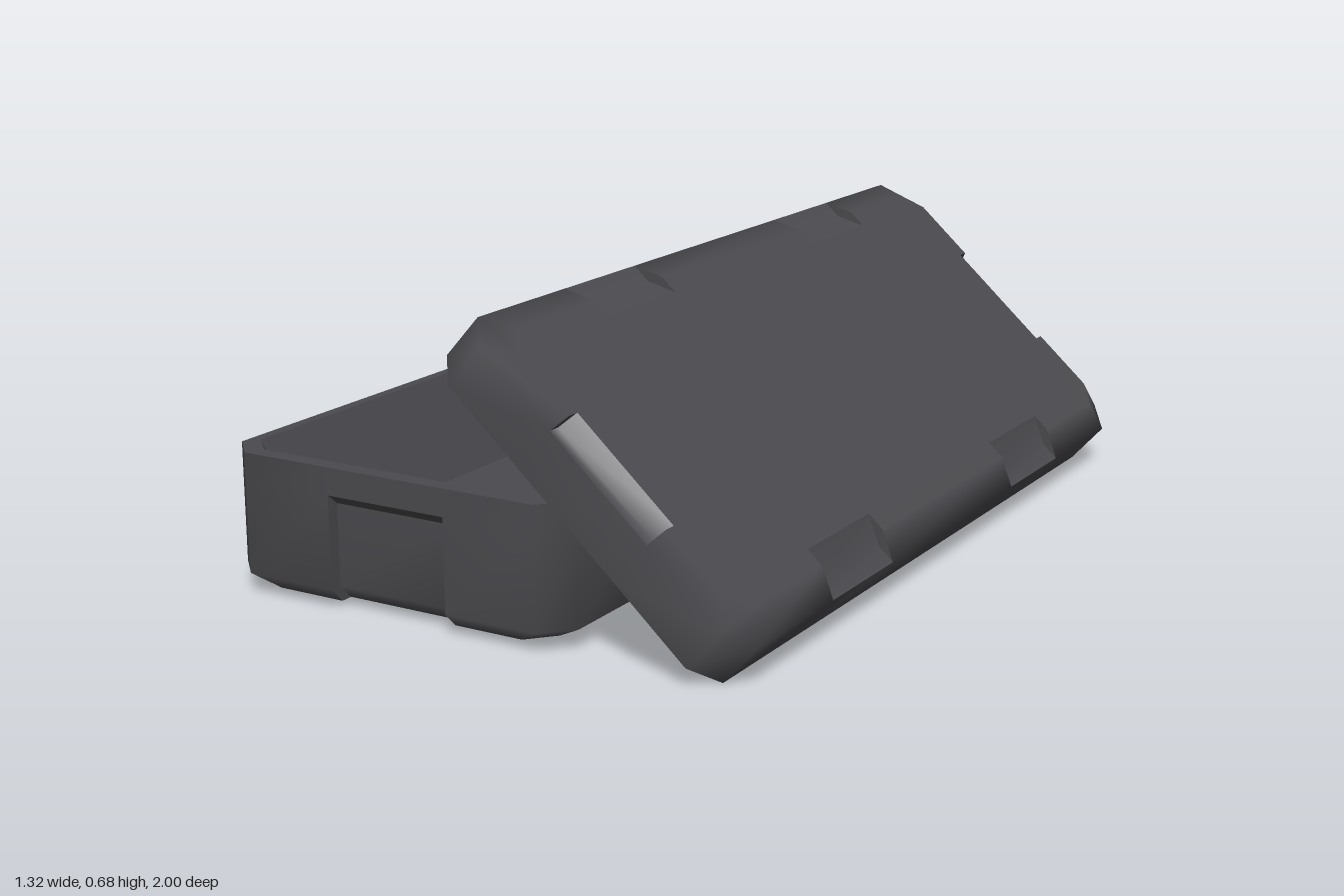
import * as THREE from 'three';

const HX = 0.445, HZ = 1;                       // half width, half length
const CH = { x: 0.067, z: 0.035, h: 0.035 };    // chamfer along the outer edge
const DX = 0.047, DZ = 0.03;                    // recess depth on long and short sides
const cut = (inset) => 0.065 - 0.15 * inset;    // corner cut, smaller further in

// Columns around the eight-sided outline; each gives [x, z] for an inset, and
// says whether a clamp recess starts or ends there.
function outlineColumns() {
  const cols = [];
  for (const s of [1, -1]) {
    const long = (t) => (ix, iz) => [s * (HX - ix), s * t(iz)];
    const short = (t) => (ix, iz) => [-s * t(ix), s * (HZ - iz)];
    const add = (p, mark = '') => cols.push({ p, mark });
    add(long((i) => -(HZ - i - cut(i))));
    for (const [z, m] of [[-0.613, 'start'], [-0.328, 'end'], [0.328, 'start'], [0.613, 'end']]) add(long(() => z), m);
    add(long((i) => HZ - i - cut(i)));
    add(short((i) => -(HX - i - cut(i))));
    add(short(() => -0.152), 'start');
    add(short(() => 0.152), 'end');
    add(short((i) => HX - i - cut(i)));
  }
  return cols;
}

// Faces of one smooth group share weighted normals; flat faces keep their own
function groupedGeometry(faces) {
  const sums = new Map();
  const key = (p, group) => group + p.toArray().map((n) => Math.round(n * 1e4)).join();
  for (const { pts, normal, weight, group } of faces) for (const p of pts) {
    const k = key(p, group);
    if (!sums.has(k)) sums.set(k, new THREE.Vector3());
    sums.get(k).addScaledVector(normal, weight);
  }
  const pos = [], nor = [];
  for (const { pts, normal, group } of faces) for (const p of pts) {
    const n = group === 'flat' ? normal : sums.get(key(p, group)).clone().normalize();
    pos.push(p.x, p.y, p.z);
    nor.push(n.x, n.y, n.z);
  }
  const geo = new THREE.BufferGeometry();
  geo.setAttribute('position', new THREE.Float32BufferAttribute(pos, 3));
  geo.setAttribute('normal', new THREE.Float32BufferAttribute(nor, 3));
  return geo;
}

// Shell with its chamfered edge at y = 0 and its plain edge at y = height.
// With a floor it is a tray, open below; without one it is a closed slab.
function shellGeometry({ height, floorY, recessTop, recessDrop }) {
  const cols = outlineColumns(), faces = [];
  const isTray = floorY !== undefined;
  const at = (col, [ix, iz, y]) => {
    const [x, z] = col.p(ix, iz);
    return new THREE.Vector3(x, y, z);
  };
  const cross = (a, b, c) => b.clone().sub(a).cross(c.clone().sub(a));
  const tri = (a, b, c, group, weight) => {
    const normal = cross(a, b, c);
    if (normal.length() > 1e-7) faces.push({ pts: [a, b, c], normal: normal.normalize(), weight, group });
  };
  const quad = (a, b, c, d, group) => {
    const weight = cross(a, b, c).length() + cross(a, c, d).length();
    tri(a, b, c, group, weight);
    tri(a, c, d, group, weight);
  };

  // cross-section: floor and inner rim if any, outer rim, then down the outside
  const rim = [0, 0, height];
  const inner = isTray ? [[0.125, 0.08, floorY], [0.025, 0.04, height], rim] : [rim];
  const outside = [[0, 0, CH.h], [CH.x, CH.z, 0]];
  if (recessTop > CH.h) outside.unshift([0, 0, recessTop]);
  const recess = outside.map(([x, z, y], i) => [x + DX, z + DZ, i ? y : y - recessDrop]);
  const plainProfile = [...inner, ...outside];
  const recessProfile = [...inner, outside[0], ...recess];

  const top = [], bottom = [];
  cols.forEach((col, i) => {
    const next = cols[(i + 1) % cols.length];
    const inRecess = col.mark === 'start';
    const prof = inRecess ? recessProfile : plainProfile;
    for (let k = 0; k + 1 < prof.length; k++) {
      let group = 'skin';
      if (k < inner.length - 1) group = 'flat';
      else if (inRecess && k === inner.length && recessDrop) group = 'flat';
      else if (inRecess && k >= inner.length) group = 'recess';
      quad(at(col, prof[k]), at(next, prof[k]), at(next, prof[k + 1]), at(col, prof[k + 1]), group);
    }
    // cheeks of the recess
    if (col.mark) for (let k = 0; k + 1 < outside.length; k++) {
      const c = [outside[k], outside[k + 1], recess[k + 1], recess[k]].map((q) => at(col, q));
      if (inRecess) c.reverse();
      quad(...c, 'flat');
    }
    const last = prof[prof.length - 1];
    bottom.push(at(col, last), at(next, last));
    top.push(at(col, inner[0]));
  });

  // flat caps
  const cap = (points, up, group) => {
    const pts = points.filter((p, i) => p.distanceTo(points[(i + 1) % points.length]) > 1e-5);
    const flat = pts.map((p) => new THREE.Vector2(p.x, p.z));
    for (const [a, b, c] of THREE.ShapeUtils.triangulateShape(flat, [])) {
      const facesUp = cross(pts[a], pts[b], pts[c]).y > 0;
      if (facesUp === up) tri(pts[a], pts[b], pts[c], group, 2);
      else tri(pts[a], pts[c], pts[b], group, 2);
    }
  };
  cap(top, true, 'flat');
  if (!isTray) cap(bottom, false, 'skin');
  return groupedGeometry(faces);
}

export function createModel() {
  const group = new THREE.Group();
  group.name = 'openCrate';
  const darkGrey = new THREE.MeshStandardMaterial({ color: 0x4b4a4e, side: THREE.DoubleSide });
  darkGrey.name = 'darkGrey';

  // crate body with tall clamp recesses, open underneath
  const body = new THREE.Mesh(
    shellGeometry({ height: 0.313, floorY: 0.085, recessTop: 0.25, recessDrop: 0.025 }), darkGrey);
  body.name = 'crateBody';
  body.position.set(-0.214, 0.015, 0);

  // lid: a slab turned over and leaning on the body
  const lid = new THREE.Mesh(
    shellGeometry({ height: 0.156, recessTop: CH.h, recessDrop: 0 }), darkGrey);
  lid.name = 'lid';
  lid.rotation.z = Math.PI - 0.7316;
  lid.position.set(0.349, 0.415, 0);

  group.add(body, lid);
  return group;
}
